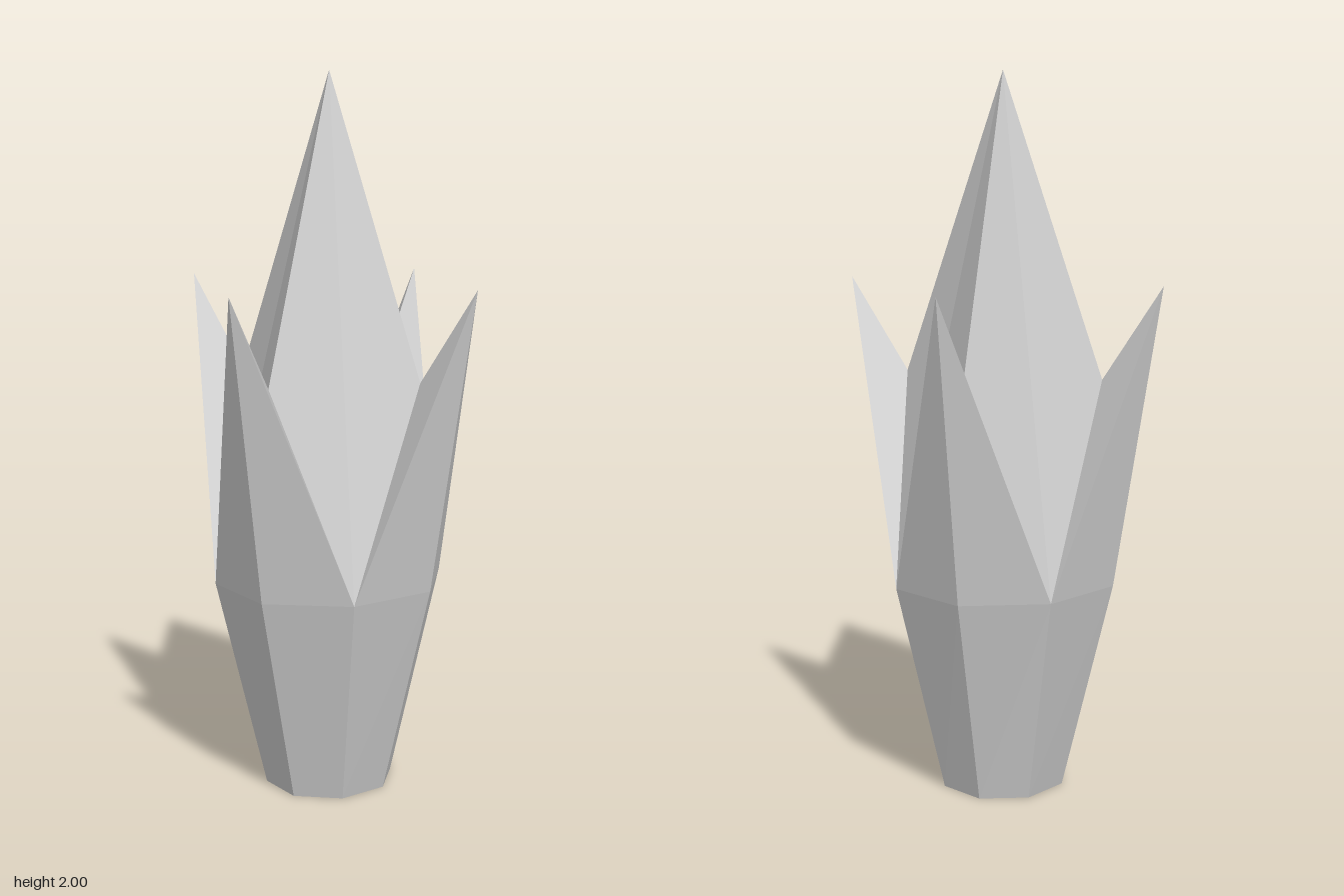
import * as THREE from 'three';

const DEPTH = 1.06; // the bud is slightly deeper than wide

// Point on an eight-step ring; even steps lie on the axes, odd on the diagonals
const ringPoint = (step, radius, y) => {
  const a = (step * Math.PI) / 4;
  return [radius * Math.sin(a), y, radius * Math.cos(a) * DEPTH];
};

const base = (i) => ringPoint(i, 0.179, 0);
const waist = (i) => ringPoint(i, i % 2 ? 0.318 : 0.325, 0.595);
const petalTip = (i) => ringPoint(i, 0.457, 1.43);
const junction = (i) => ringPoint(i, 0.288, 1.17);
const apex = [0, 2, 0];

function facets(name, triangles) {
  const geometry = new THREE.BufferGeometry();
  geometry.setAttribute('position', new THREE.Float32BufferAttribute(triangles.flat(2), 3));
  geometry.computeVertexNormals();
  const material = new THREE.MeshStandardMaterial({ color: 0xcccccc, flatShading: true });
  const mesh = new THREE.Mesh(geometry, material);
  mesh.name = name;
  return mesh;
}

export function createModel() {
  const model = new THREE.Group();
  model.name = 'budCrystal';

  // Flared octagonal cup with a closed bottom
  const cup = [];
  for (let i = 0; i < 8; i++) {
    cup.push([base(i), base(i + 1), waist(i + 1)], [base(i), waist(i + 1), waist(i)]);
    cup.push([[0, 0, 0], base(i + 1), base(i)]);
  }
  model.add(facets('cup', cup));

  // Four pointed petals and the central spire between them
  const spire = [];
  for (let i = 0; i < 8; i += 2) {
    const left = waist(i - 1), right = waist(i + 1);
    const tip = petalTip(i), inner = junction(i);
    model.add(facets('petal', [
      [waist(i), right, tip], [left, waist(i), tip], // outside
      [tip, right, inner], [tip, inner, left], // inside
    ]));
    spire.push([inner, right, apex], [left, inner, apex]);
  }
  model.add(facets('spire', spire));
  return model;
}
